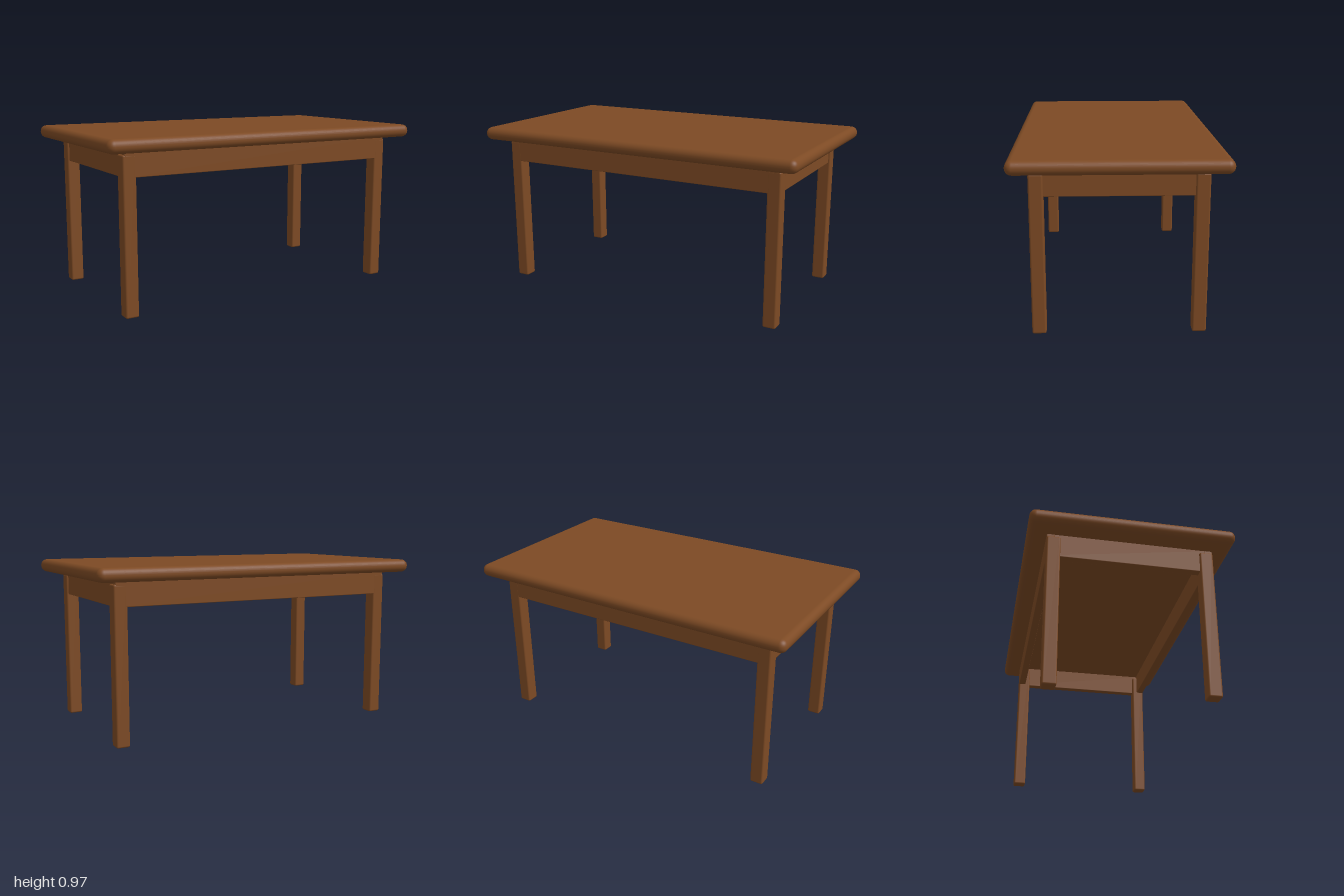
import * as THREE from 'three';
import { RoundedBoxGeometry } from 'three/addons/geometries/RoundedBoxGeometry.js';

export function createModel() {
  const table = new THREE.Group();
  table.name = 'table';
  const wood = new THREE.MeshStandardMaterial({ color: 0x7d4a24 });
  wood.name = 'brown wood';

  // Box with softened edges, placed by its centre in x and z and its bottom in y
  function board(name, [w, h, d], [x, bottom, z], radius, segments) {
    const mesh = new THREE.Mesh(new RoundedBoxGeometry(w, h, d, segments, radius), wood);
    mesh.name = name;
    mesh.position.set(x, bottom + h / 2, z);
    table.add(mesh);
  }

  // Top with fully rounded edges
  board('tableTop', [2, 0.076, 1.14], [0, 0.891, 0], 0.037, 4);

  // Rails under the top, and a leg in each corner
  for (const s of [-1, 1]) {
    const side = s > 0 ? 'left' : 'right';
    const end = s > 0 ? 'front' : 'back';
    board(end + 'Rail', [1.75, 0.14, 0.045], [0, 0.755, s * 0.442], 0.004, 1);
    board(side + 'Rail', [0.045, 0.14, 0.86], [s * 0.851, 0.755, 0], 0.004, 1);
    for (const t of [-1, 1]) {
      const name = (t > 0 ? 'front' : 'back') + (s > 0 ? 'Left' : 'Right') + 'Leg';
      board(name, [0.076, 0.875, 0.076], [s * 0.847, 0, t * 0.427], 0.01, 2);
    }
  }
  return table;
}
